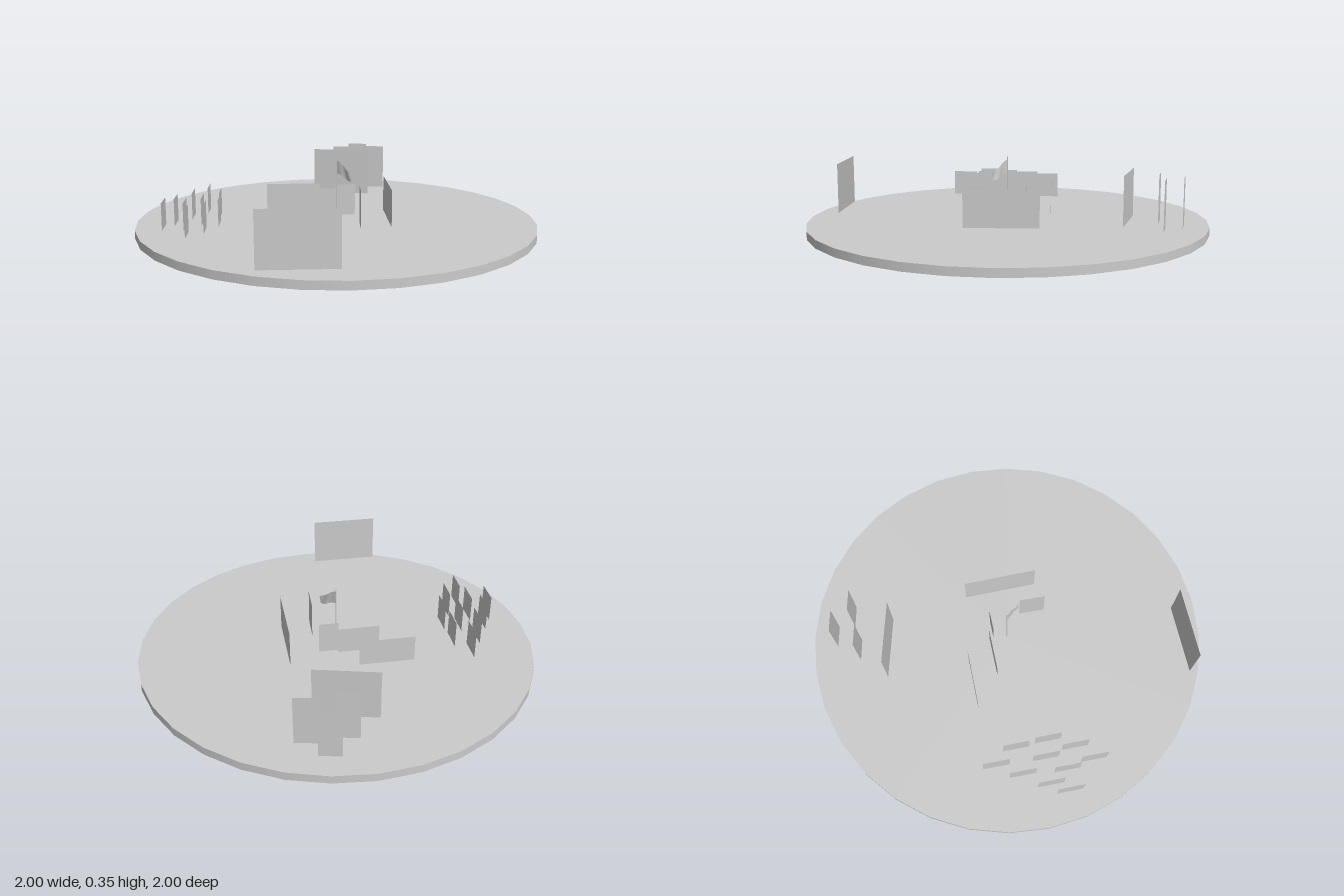
import * as THREE from 'three';

const grey = new THREE.MeshStandardMaterial({ color: 0xcccccc });
const sheet = new THREE.MeshStandardMaterial({ color: 0xcccccc, side: THREE.DoubleSide });

// Upright thin card whose foot runs from (x1, z1) to (x2, z2)
function card(name, x1, z1, x2, z2, top, bottom = 0.04) {
  const width = Math.hypot(x2 - x1, z2 - z1);
  const mesh = new THREE.Mesh(new THREE.PlaneGeometry(width, top - bottom), sheet);
  mesh.position.set((x1 + x2) / 2, (top + bottom) / 2, (z1 + z2) / 2);
  mesh.rotation.y = -Math.atan2(z2 - z1, x2 - x1);
  mesh.name = name;
  return mesh;
}

export function createModel() {
  const model = new THREE.Group();
  model.name = 'diorama';

  // Round base
  const base = new THREE.Mesh(new THREE.CylinderGeometry(1, 1, 0.04, 32), grey);
  base.position.y = 0.02;
  base.name = 'base';
  model.add(base);

  // Large cards standing around the flag
  const large = new THREE.Group();
  large.name = 'sceneryCards';
  large.add(
    card('frontCard', 0.35, 0.89, 0.6, 0.64, 0.305, 0.05),
    card('leftLargeCard', 0.064, -0.3, 0.325, -0.04, 0.223),
    card('leftSmallCard', 0.14, -0.015, 0.23, 0.08, 0.225),
    card('centreSmallCard', -0.05, -0.05, 0.02, -0.12, 0.2),
    card('centreCard', -0.21, 0.08, -0.06, -0.07, 0.175),
    card('rightCard', -0.409, 0.096, -0.21, -0.1, 0.175),
    card('backLargeCard', -0.518, -0.39, -0.25, -0.55, 0.29)
  );
  model.add(large);

  // Tall narrow cards at the back
  const tall = new THREE.Group();
  tall.name = 'backTallCards';
  for (const [x, z] of [[-0.39, -0.695], [-0.527, -0.703], [-0.522, -0.56]]) {
    tall.add(card('tallCard', x, z, x + 0.09, z - 0.058, 0.285));
  }
  model.add(tall);

  // Loose cluster of small parallel cards
  const cluster = new THREE.Group();
  cluster.name = 'smallCards';
  const feet = [
    [-0.55, 0.65], [-0.575, 0.555], [-0.612, 0.415], [-0.647, 0.283], [-0.47, 0.583],
    [-0.355, 0.665], [-0.355, 0.555], [-0.52, 0.315], [-0.4, 0.425], [-0.48, 0.465],
  ];
  for (const [x, z] of feet) cluster.add(card('smallCard', x, z, x + 0.092, z + 0.095, 0.175));
  model.add(cluster);

  // Flagpole
  const pole = new THREE.Mesh(new THREE.CylinderGeometry(0.003, 0.003, 0.315, 8), grey);
  pole.position.y = 0.1975;
  pole.name = 'flagpole';
  model.add(pole);

  // Flag: a sheet that droops and ripples away from the pole
  const cloth = new THREE.PlaneGeometry(0.1, 0.06, 10, 4);
  const p = cloth.attributes.position;
  for (let i = 0; i < p.count; i++) {
    const t = p.getX(i) / 0.1 + 0.5;
    const v = p.getY(i) / 0.06;
    const height = 0.068 - 0.026 * t;
    const droop = 0.305 - 0.042 * t + 0.005 * Math.sin(t * Math.PI * 2);
    p.setXYZ(i, 0.1 * t, droop + v * height, 0.005 * t * Math.sin(t * 9 + v * 2));
  }
  cloth.computeVertexNormals();
  const flag = new THREE.Mesh(cloth, sheet);
  flag.name = 'flag';
  model.add(flag);

  return model;
}
